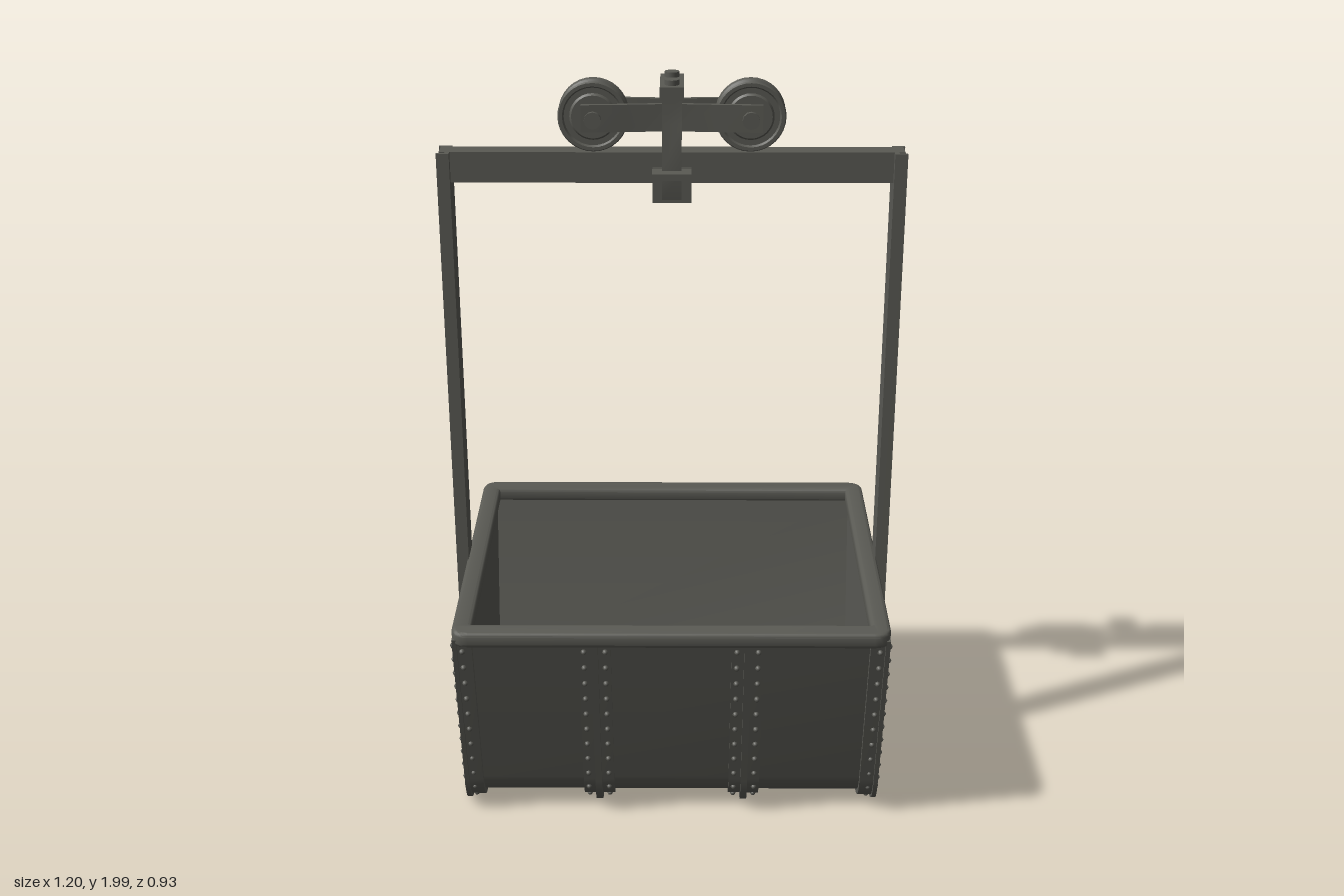
import * as THREE from 'three';
import { mergeGeometries, toCreasedNormals } from 'three/addons/utils/BufferGeometryUtils.js';

export function createModel() {
  const model = new THREE.Group();
  const iron = new THREE.MeshStandardMaterial({ color: 0x5a5a54 });
  iron.name = 'dark iron';

  const add = (name, geometry, x = 0, y = 0, z = 0, parent = model) => {
    const mesh = new THREE.Mesh(geometry, iron);
    mesh.name = name;
    mesh.position.set(x, y, z);
    parent.add(mesh);
    return mesh;
  };
  const box = (name, w, h, d, x, y, z) => add(name, new THREE.BoxGeometry(w, h, d), x, y, z);

  // U-shaped section of the bucket in (z, y), inset by o
  const section = (o, top = 0.63) => {
    const p = new THREE.Path();
    p.moveTo(-(0.46 - o), top);
    p.lineTo(-(0.345 - o), 0.12);
    p.quadraticCurveTo(-(0.322 - o), 0.008 + o, -(0.22 - o * 0.5), 0.008 + o);
    p.lineTo(0.22 - o * 0.5, 0.008 + o);
    p.quadraticCurveTo(0.322 - o, 0.008 + o, 0.345 - o, 0.12);
    p.lineTo(0.46 - o, top);
    return p;
  };
  // Extrude a (z, y) outline along x, centred
  const alongX = (points, width) => {
    const g = new THREE.ExtrudeGeometry(new THREE.Shape(points), { depth: width, bevelEnabled: false });
    g.translate(0, 0, -width / 2).rotateY(-Math.PI / 2);
    return toCreasedNormals(g, 0.6);
  };
  const strip = (outer, inner, width) =>
    alongX([...section(outer).getPoints(10), ...section(inner).getPoints(10).reverse()], width);

  // Bucket shell and end walls
  add('bucketShell', strip(0.025, 0.048, 1.1));
  for (const s of [-1, 1]) {
    add('endWall', alongX(section(0.025).getPoints(10), 0.032), s * 0.545);
    add('endCornerBand', strip(0.012, 0.03, 0.05), s * 0.545);
    add('endEdgeStrip', strip(0.004, 0.058, 0.012), s * 0.564);
    box('endTopStrip', 0.012, 0.035, 0.84, s * 0.564, 0.612, 0);
    for (const z of [-0.062, 0.062]) box('armAngle', 0.014, 0.57, 0.04, s * 0.565, 0.33, z);
  }

  // Reinforcing bands with a central rib
  for (const x of [-0.2, 0.2]) {
    add('bandPlate', strip(0.015, 0.03, 0.084), x);
    add('bandRib', strip(0, 0.03, 0.018), x);
  }

  // Rounded rim
  const rect = (p, a, b, r) => {
    p.moveTo(-a + r, -b);
    p.lineTo(a - r, -b);
    p.quadraticCurveTo(a, -b, a, -b + r);
    p.lineTo(a, b - r);
    p.quadraticCurveTo(a, b, a - r, b);
    p.lineTo(-a + r, b);
    p.quadraticCurveTo(-a, b, -a, b - r);
    p.lineTo(-a, -b + r);
    p.quadraticCurveTo(-a, -b, -a + r, -b);
    return p;
  };
  const rimShape = rect(new THREE.Shape(), 0.562, 0.456, 0.035);
  rimShape.holes.push(rect(new THREE.Path(), 0.53, 0.418, 0.008));
  const rim = new THREE.ExtrudeGeometry(rimShape, {
    depth: 0.022, bevelThickness: 0.01, bevelSize: 0.01, bevelSegments: 3, curveSegments: 6,
  });
  rim.rotateX(-Math.PI / 2);
  add('rim', toCreasedNormals(rim, 0.7), 0, 0.622, 0);

  // Rivets
  const rivets = [];
  const rivet = (x, y, z) => rivets.push(new THREE.SphereGeometry(0.008, 6, 4).translate(x, y, z));
  for (const p of section(0.031, 0.6).getSpacedPoints(34)) {
    for (const s of [-1, 1]) rivet(s * 0.57, p.y, p.x);
  }
  for (const p of section(0.015, 0.59).getSpacedPoints(30)) {
    for (const x of [-0.545, -0.228, -0.172, 0.172, 0.228, 0.545]) rivet(x, p.y, p.x);
  }
  for (let i = 0; i < 9; i++) {
    for (const s of [-1, 1]) for (const z of [-0.064, 0.064]) rivet(s * 0.572, 0.08 + i * 0.062, z);
  }
  add('rivets', mergeGeometries(rivets));

  // Hanger: channel arms and cross bar
  for (const s of [-1, 1]) {
    box('armWeb', 0.012, 1.79, 0.084, s * 0.573, 0.915, 0);
    for (const z of [-0.037, 0.037]) box('armFlange', 0.033, 1.79, 0.01, s * 0.5835, 0.915, z);
    box('armInnerRib', 0.018, 1.79, 0.014, s * 0.584, 0.915, 0);
  }
  box('crossBar', 1.19, 0.08, 0.056, 0, 1.77, -0.003);

  // Grooved trolley wheels with axles
  const wheelProfile = [[0, -0.03], [0.055, -0.03], [0.06, -0.024], [0.074, -0.024], [0.078, -0.03],
    [0.087, -0.03], [0.09, -0.025], [0.087, -0.017], [0.073, -0.008], [0.073, 0.008], [0.087, 0.017],
    [0.09, 0.025], [0.087, 0.03], [0.078, 0.03], [0.074, 0.024], [0.06, 0.024], [0.055, 0.03], [0, 0.03]]
    .map(([r, y]) => new THREE.Vector2(r, y));
  const wheel = toCreasedNormals(new THREE.LatheGeometry(wheelProfile, 32).rotateX(Math.PI / 2), 0.5);
  for (const x of [-0.2, 0.2]) {
    add('wheel', wheel, x, 1.9, -0.008);
    add('axle', new THREE.CylinderGeometry(0.022, 0.022, 0.118, 12).rotateX(Math.PI / 2), x, 1.897, -0.008);
  }

  // Side plates, pinched towards the middle
  for (const s of [-1, 1]) {
    const plate = new THREE.BoxGeometry(0.46, 0.07, 0.012, 4, 1, 1);
    const pos = plate.attributes.position;
    for (let i = 0; i < pos.count; i++) {
      pos.setZ(i, pos.getZ(i) + s * (0.028 + 0.016 * Math.min(1, Math.abs(pos.getX(i)) / 0.2)));
    }
    plate.computeVertexNormals();
    add('trolleyPlate', plate, 0, 1.9, -0.008);

    // Tapered strap beside the bar
    const strap = [[0.032, 1.69], [0.05, 1.69], [0.062, 1.77], [0.042, 1.885], [0.042, 1.96], [0.026, 1.96], [0.026, 1.885]]
      .map(([z, y]) => new THREE.Vector2(s * z, y));
    add('hangerStrap', alongX(strap, 0.05), 0, 0, -0.008);
    box('saddleSide', 0.1, 0.085, 0.012, 0, 1.728, -0.006 + s * 0.036);
    box('saddleFlange', 0.1, 0.016, 0.065, 0, 1.762, -0.006 + s * 0.064);
    add('topBolt', new THREE.CylinderGeometry(0.019, 0.019, 0.05, 12), 0, 1.975, -0.01 + s * 0.045);
  }
  box('saddleBase', 0.1, 0.05, 0.084, 0, 1.705, -0.006);
  box('topClamp', 0.06, 0.034, 0.156, 0, 1.97, -0.006);
  return model;
}
